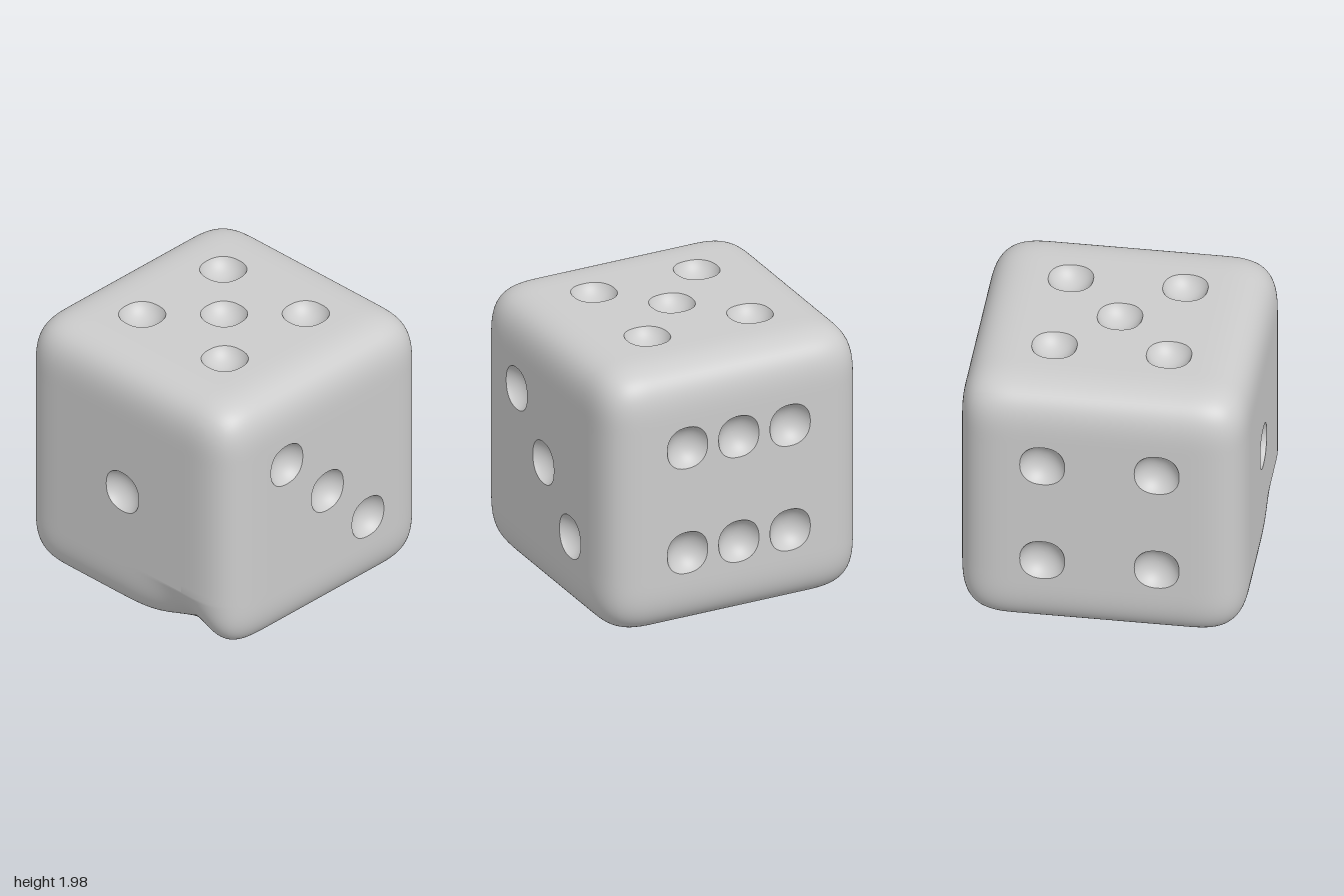
import * as THREE from 'three';
import { mergeVertices } from 'three/addons/utils/BufferGeometryUtils.js';

const HALF = 0.99;          // half the side of the die
const FLAT = 0.56;          // half the flat middle of a face
const ROUND = HALF - FLAT;  // reach of the edge rounding
const POWER = 3.3;          // squareness of the rounding
const PIP = 0.155, DEPTH = 0.1, STEP = 0.395, SIDES = 48;

// pips per face in steps of STEP, with the turn that brings the face from +z to its side
const FACES = [
  { name: 'front', turn: [0, 0], pips: [[0, 0]] },
  { name: 'right', turn: [0, Math.PI / 2], pips: [[-1, 1], [0, 0], [1, -1]] },
  { name: 'back', turn: [0, Math.PI], pips: [[-1, 1], [0, 1], [1, 1], [-1, -1], [0, -1], [1, -1]] },
  { name: 'left', turn: [0, -Math.PI / 2], pips: [[-1, 1], [1, 1], [-1, -1], [1, -1]] },
  { name: 'top', turn: [-Math.PI / 2, 0], pips: [[-1, 1], [1, 1], [0, 0], [-1, -1], [1, -1]] },
  { name: 'bottom', turn: [Math.PI / 2, 0], pips: [[1, 1], [-1, -1]] },
];

// slightly squared circle: radius factor at an angle
function squircle(a) {
  const n = 2.3;
  return 1 / Math.pow(Math.abs(Math.cos(a)) ** n + Math.abs(Math.sin(a)) ** n, 1 / n);
}

// soft edges and corners, leaving an opening for the flat of each face
function shellGeometry() {
  let geo = new THREE.BoxGeometry(2, 2, 2, 50, 50, 50);
  geo.deleteAttribute('uv');
  geo.deleteAttribute('normal');
  geo = mergeVertices(geo, 1e-4);
  const pos = geo.attributes.position;
  const inner = [];
  for (let i = 0; i < pos.count; i++) {
    const core = [], d = [];
    pos.getComponent(i, 0);
    for (let k = 0; k < 3; k++) {
      const t = pos.getComponent(i, k), m = Math.abs(t);
      core.push(Math.sign(t) * FLAT * Math.min(1, m / 0.4));
      d.push(Math.sign(t) * Math.max(0, (m - 0.4) / 0.6));
    }
    const len = Math.pow(d.reduce((s, v) => s + Math.abs(v) ** POWER, 0), 1 / POWER);
    inner.push(d.map((v, k) => (Math.abs(v) < 1e-4 ? k : -1)).filter((k) => k >= 0));
    const p = core.map((c, k) => c + (ROUND * d[k]) / len);
    // worn dent along the lower front edge
    const worn = Math.max(0, -d[1] / len) * Math.max(0, d[2] / len);
    const push = 0.12 * worn * Math.exp(-(((p[0] - 0.55) / 0.26) ** 2));
    pos.setXYZ(i, p[0], p[1] + push, p[2] - push);
  }
  geo.computeVertexNormals();
  const keep = [], idx = geo.index.array;
  for (let i = 0; i < idx.length; i += 3) {
    const tri = [idx[i], idx[i + 1], idx[i + 2]];
    if (!tri.every((v) => inner[v].length === 2)) keep.push(...tri);
  }
  geo.setIndex(keep);
  return geo;
}

// flat of a face with a hole for each pip
function faceGeometry(pips) {
  const shape = new THREE.Shape([[-1, -1], [1, -1], [1, 1], [-1, 1]]
    .map(([x, y]) => new THREE.Vector2(x * FLAT, y * FLAT)));
  for (const [u, v] of pips) {
    const rim = [];
    for (let i = 0; i < SIDES; i++) {
      const a = (i / SIDES) * Math.PI * 2, r = PIP * squircle(a);
      rim.push(new THREE.Vector2(u * STEP + r * Math.cos(a), v * STEP + r * Math.sin(a)));
    }
    shape.holes.push(new THREE.Path(rim));
  }
  return new THREE.ShapeGeometry(shape);
}

// hollow bowl opening towards +z
function pipGeometry() {
  const R = (PIP * PIP + DEPTH * DEPTH) / (2 * DEPTH);
  const end = Math.asin(PIP / R), profile = [];
  for (let i = 0; i <= 12; i++) {
    const a = end * (1 - i / 12);
    profile.push(new THREE.Vector2(R * Math.sin(a), R - DEPTH - R * Math.cos(a)));
  }
  const geo = new THREE.LatheGeometry(profile, SIDES).rotateX(Math.PI / 2);
  const pos = geo.attributes.position;
  for (let i = 0; i < pos.count; i++) {
    const x = pos.getX(i), y = pos.getY(i), s = squircle(Math.atan2(y, x));
    pos.setXY(i, x * s, y * s);
  }
  return geo;
}

export function createModel() {
  const material = new THREE.MeshStandardMaterial({ color: 0xcccccc });
  const model = new THREE.Group();
  model.name = 'die';
  const body = new THREE.Group();
  body.name = 'body';
  body.position.y = HALF;
  body.rotation.y = -0.0135;
  model.add(body);

  const add = (parent, geo, name) => {
    const mesh = new THREE.Mesh(geo, material);
    mesh.name = name;
    parent.add(mesh);
    return mesh;
  };

  add(body, shellGeometry(), 'roundedEdges');
  const bowl = pipGeometry();
  for (const { name, turn, pips } of FACES) {
    const side = new THREE.Group();
    side.name = name + 'Side';
    side.rotation.set(turn[0], turn[1], 0);
    add(side, faceGeometry(pips), name + 'Face').position.z = HALF;
    for (const [u, v] of pips) add(side, bowl, name + 'Pip').position.set(u * STEP, v * STEP, HALF);
    body.add(side);
  }
  return model;
}
